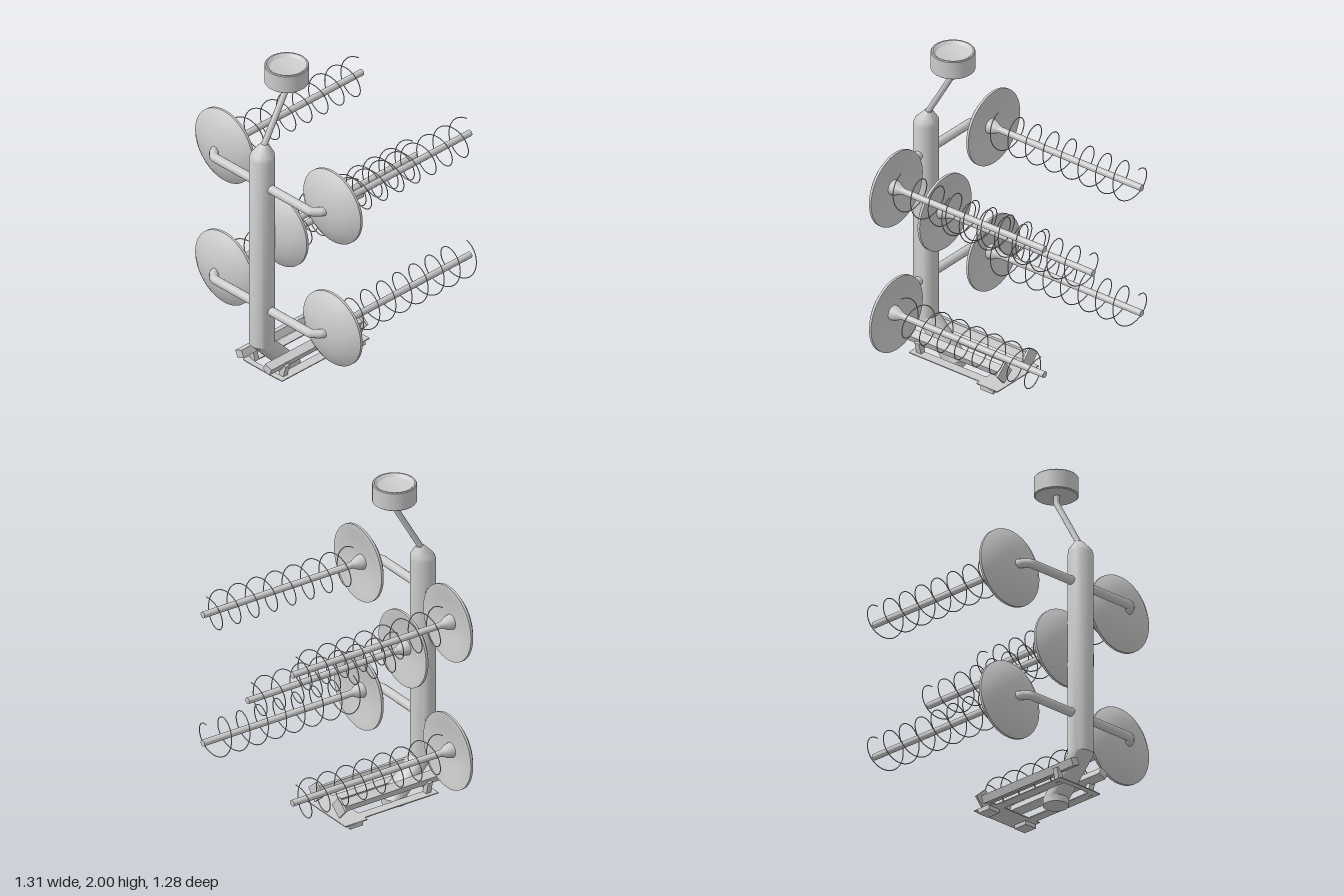
import * as THREE from 'three';
import { toCreasedNormals } from 'three/addons/utils/BufferGeometryUtils.js';

const material = new THREE.MeshStandardMaterial({ color: 0xcccccc, side: THREE.DoubleSide });
const V = (x, y, z) => new THREE.Vector3(x, y, z);

function add(parent, name, geometry, x = 0, y = 0, z = 0) {
  const mesh = new THREE.Mesh(geometry, material);
  mesh.name = name;
  mesh.position.set(x, y, z);
  parent.add(mesh);
  return mesh;
}

// Turned profile of [radius, height] pairs with crisp corners
function turned(profile, segments = 40) {
  const geometry = new THREE.LatheGeometry(profile.map(([r, h]) => new THREE.Vector2(r, h)), segments);
  return toCreasedNormals(geometry, 0.5);
}

// Turned profile whose rings slide in z following a centre line of [height, z] pairs
function leaning(profile, line) {
  const geometry = new THREE.LatheGeometry(profile.map(([r, h]) => new THREE.Vector2(r, h)), 32);
  const p = geometry.attributes.position;
  for (let i = 0; i < p.count; i++) {
    const y = p.getY(i);
    let k = 0;
    while (k < line.length - 2 && y > line[k + 1][0]) k++;
    const [[y0, z0], [y1, z1]] = [line[k], line[k + 1]];
    p.setZ(i, p.getZ(i) + z0 + (z1 - z0) * (y - y0) / (y1 - y0));
  }
  return toCreasedNormals(geometry, 0.5);
}

function coilGeometry(hand) {
  const turns = 8, points = [];
  for (let i = 0; i <= turns * 24; i++) {
    const a = i / 24 * Math.PI * 2;
    points.push(V(hand * 0.107 * Math.sin(a), 0.107 * Math.cos(a), 0.395 - 0.995 * i / (turns * 24)));
  }
  return new THREE.TubeGeometry(new THREE.CatmullRomCurve3(points), turns * 40, 0.003, 5);
}

// Dish reflector with a central rod and a wire helix around it
function helixAntenna(parent, name, x, y, hand) {
  const g = new THREE.Group();
  g.name = name;
  g.position.set(x, y, 0);
  parent.add(g);
  const dish = turned([[0, 0.455], [0.08, 0.45], [0.16, 0.438], [0.215, 0.425], [0.228, 0.425], [0.228, 0.44],
    [0.19, 0.466], [0.14, 0.488], [0.08, 0.503], [0.03, 0.509], [0, 0.51]], 48);
  add(g, 'dish', dish.rotateX(Math.PI / 2));
  const rod = turned([[0, -0.625], [0.019, -0.625], [0.019, 0.38], [0.024, 0.395], [0.04, 0.425], [0.045, 0.456]], 20);
  add(g, 'rod', rod.rotateX(Math.PI / 2));
  add(g, 'coil', coilGeometry(hand));
}

export function createModel() {
  const model = new THREE.Group();
  model.name = 'helixAntennaArray';
  // Whole assembly is turned a little about the mast
  const pivot = new THREE.Group();
  pivot.name = 'mastPivot';
  pivot.position.z = 0.56;
  pivot.rotation.y = 0.037;
  model.add(pivot);
  const body = new THREE.Group();
  body.name = 'assembly';
  body.position.z = -0.56;
  pivot.add(body);

  // Mast with a cranked foot, and a thin cranked stem carrying the cup
  add(body, 'mast', leaning(
    [[0, 0], [0.072, 0], [0.072, 0.04], [0.072, 0.25], [0.072, 1.47], [0.066, 1.495], [0.025, 1.55], [0, 1.56]],
    [[0, 0.368], [0.04, 0.368], [0.25, 0.563], [1.47, 0.563], [1.56, 0.545]]));
  add(body, 'stem', leaning(
    [[0.019, 1.52], [0.019, 1.55], [0.019, 1.84], [0.019, 1.89]],
    [[1.52, 0.55], [1.55, 0.545], [1.84, 0.375], [1.89, 0.375]]));
  add(body, 'cup', turned([[0, 1.885], [0.118, 1.885], [0.124, 1.89], [0.124, 1.995], [0.12, 2],
    [0.112, 2], [0.095, 1.984], [0.05, 1.974], [0, 1.972]]), 0, 0, 0.372);

  // Cross arms with ends bent back to the dishes
  for (const y of [1.29, 0.485]) {
    const path = new THREE.CurvePath();
    const pts = [V(-0.435, 0, 0.49), V(-0.425, 0, 0.52), V(-0.385, 0, 0.56),
      V(0.385, 0, 0.56), V(0.425, 0, 0.52), V(0.435, 0, 0.49)];
    for (let i = 0; i < 5; i++) path.add(new THREE.LineCurve3(pts[i], pts[i + 1]));
    add(body, 'crossArm', new THREE.TubeGeometry(path, 80, 0.026, 16), 0, y, 0);
  }

  // Five antennas; the lower one on the left is wound the other way
  helixAntenna(body, 'upperRightAntenna', -0.428, 1.29, 1);
  helixAntenna(body, 'upperLeftAntenna', 0.428, 1.29, 1);
  helixAntenna(body, 'lowerRightAntenna', -0.428, 0.485, 1);
  helixAntenna(body, 'lowerLeftAntenna', 0.428, 0.485, -1);
  helixAntenna(body, 'middleAntenna', 0, 0.94, 1);

  // Base: rolled rails, end plates, legs, feet and a thin flat frame
  const box = (w, h, d) => new THREE.BoxGeometry(w, h, d);
  for (const s of [-1, 1]) {
    add(body, 'rail', box(0.053, 0.046, 0.71), s * 0.11, 0.15, 0.275).rotation.z = -s * 0.4;
    add(body, 'railEndPlate', box(0.09, 0.09, 0.014), s * 0.113, 0.148, -0.08).rotation.z = -s * 0.72;
    add(body, 'leg', box(0.035, 0.085, 0.032), s * 0.122, 0.1, 0.51).rotation.z = -s * 0.25;
    add(body, 'foot', box(0.08, 0.024, 0.088), s * 0.143, 0.047, -0.015);
    add(body, 'frameSide', box(0.06, 0.006, 0.65), s * 0.125, 0.061, 0.235);
  }
  add(body, 'frameBack', box(0.364, 0.006, 0.15), 0, 0.061, -0.015);
  add(body, 'frameFront', box(0.25, 0.006, 0.035), 0, 0.061, 0.545);
  return model;
}
